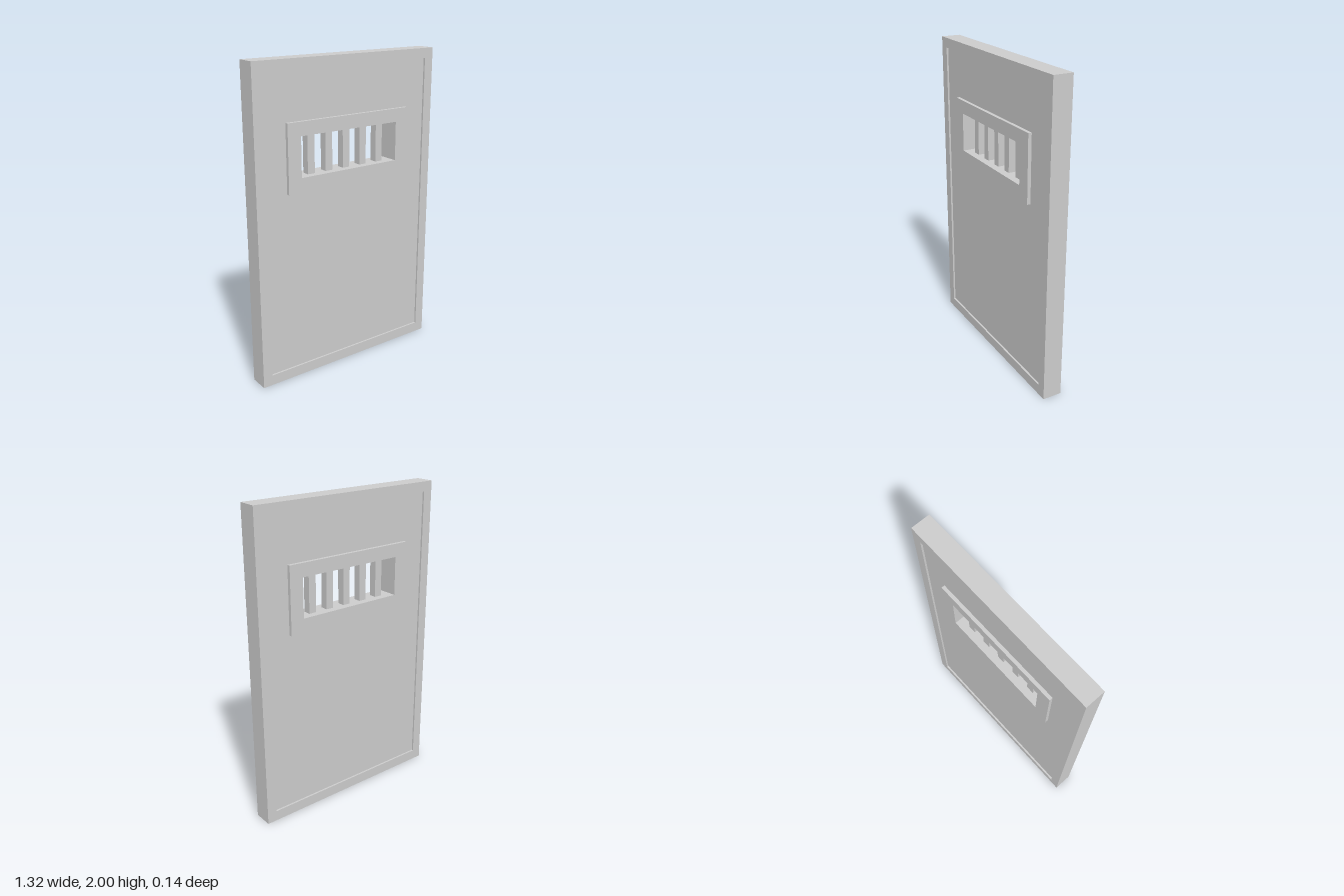
import * as THREE from 'three';

const material = new THREE.MeshStandardMaterial({ color: 0xcccccc, flatShading: true });

// Rectangular slab centred on z = 0 with a rectangular hole; rects are [x half-width, y bottom, y top]
function ring(name, [ox, oy0, oy1], [ix, iy0, iy1], depth) {
  const corners = (x, y0, y1) => [[-x, y0], [x, y0], [x, y1], [-x, y1]].map(p => new THREE.Vector2(...p));
  const shape = new THREE.Shape(corners(ox, oy0, oy1));
  shape.holes.push(new THREE.Path(corners(ix, iy0, iy1).reverse()));
  const geometry = new THREE.ExtrudeGeometry(shape, { depth, bevelEnabled: false });
  geometry.translate(0, 0, -depth / 2);
  const mesh = new THREE.Mesh(geometry, material);
  mesh.name = name;
  return mesh;
}

export function createModel() {
  const door = new THREE.Group();
  door.name = 'barredDoor';

  const outer = [0.66, 0, 2];
  const recess = [0.597, 0.067, 1.937];
  const surround = [0.447, 1.218, 1.642];
  const opening = [0.357, 1.308, 1.557];

  // Raised border, recessed panel and the window surround standing proud on both faces
  door.add(
    ring('doorBorder', outer, recess, 0.124),
    ring('doorPanel', recess, surround, 0.1),
    ring('windowSurround', surround, opening, 0.144),
  );

  // Five upright square bars in the window
  const bars = new THREE.Group();
  bars.name = 'windowBars';
  const height = opening[2] - opening[1];
  const barGeometry = new THREE.BoxGeometry(0.05, height, 0.05);
  for (let i = -2; i <= 2; i++) {
    const bar = new THREE.Mesh(barGeometry, material);
    bar.name = 'windowBar';
    bar.position.set(i * 0.129, opening[1] + height / 2, 0);
    bars.add(bar);
  }
  door.add(bars);

  return door;
}
